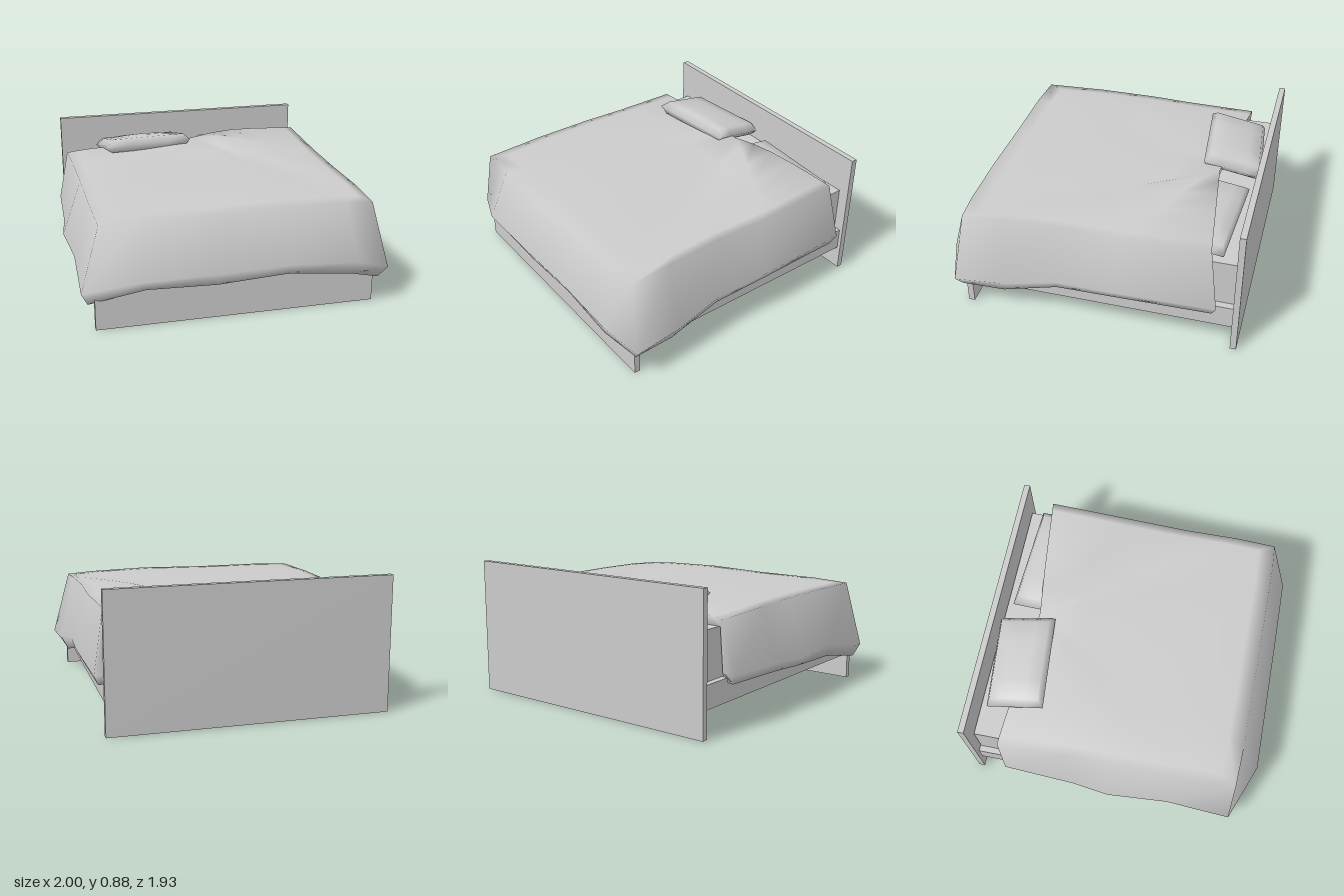
import * as THREE from 'three';
import { mergeVertices } from 'three/addons/utils/BufferGeometryUtils.js';

const grey = new THREE.MeshStandardMaterial({ color: 0xcccccc });
const cloth = new THREE.MeshStandardMaterial({ color: 0xcccccc, side: THREE.DoubleSide });

// Box given by its limits on each axis
function slab(name, x0, x1, y0, y1, z0, z1) {
  const mesh = new THREE.Mesh(new THREE.BoxGeometry(x1 - x0, y1 - y0, z1 - z0), grey);
  mesh.position.set((x0 + x1) / 2, (y0 + y1) / 2, (z0 + z1) / 2);
  mesh.name = name;
  return mesh;
}

// Merge shared corners so the normals come out smooth
function smooth(geometry) {
  geometry.deleteAttribute('normal');
  geometry.deleteAttribute('uv');
  const merged = mergeVertices(geometry, 1e-4);
  merged.computeVertexNormals();
  return merged;
}

// Cushion: box whose top and bottom are drawn in from a wider seam
function pillow(name, w, h, d) {
  const geo = new THREE.BoxGeometry(w, h, d, 4, 2, 4);
  const p = geo.attributes.position;
  for (let i = 0; i < p.count; i++) {
    const u = p.getX(i) / (w / 2), v = p.getZ(i) / (d / 2);
    const onFace = Math.abs(p.getY(i)) > 0.01;
    const inset = onFace ? 0.86 : 1;
    const swell = 0.72 + 0.28 * (1 - u * u) * (1 - v * v);
    p.setXYZ(i, p.getX(i) * inset, p.getY(i) * swell, p.getZ(i) * inset);
  }
  const mesh = new THREE.Mesh(smooth(geo), grey);
  mesh.name = name;
  mesh.rotation.order = 'YXZ';
  return mesh;
}

// Duvet: U-shaped rings from the middle of the turned-back edge out to the hem.
// Each ring runs back left, front left, front right, back right.
function duvet() {
  const top = [
    [-.88, .67, -.75], [-.87, .68, -.3], [-.87, .69, 0], [-.87, .69, .4], [-.86, .68, .82],
    [-.6, .69, .83], [-.15, .69, .83], [.3, .7, .83], [.7, .69, .83],
    [.88, .68, .82], [.88, .7, .55], [.87, .71, .2], [.88, .71, -.2], [.88, .74, -.77],
  ];
  const bulge = [
    [-.95, .34, -.72], [-.97, .33, -.25], [-1, .32, 0], [-.97, .32, .4], [-.98, .25, .83],
    [-.63, .35, .965], [-.15, .35, .96], [.3, .36, .955], [.76, .33, .95],
    [.995, .24, .87], [.98, .26, .55], [.945, .32, .2], [.965, .34, -.17], [.95, .34, -.83],
  ];
  const hem = [
    [-.92, .28, -.7], [-.94, .27, -.25], [-.96, .26, 0], [-.94, .24, .4], [-.94, .165, .8],
    [-.6, .28, .92], [-.15, .265, .92], [.3, .29, .92], [.72, .245, .92],
    [.94, .165, .84], [.93, .165, .56], [.92, .26, .2], [.93, .275, -.2], [.92, .275, -.8],
  ];
  const inner = hem.map(([x, y, z], i) =>
    [THREE.MathUtils.clamp(x, -.86, .86), y + .05, Math.min(z, .83)]);

  // Top surface, crowned and lifted over the covered pillow
  const centre = [.05, .67, -.67];
  const rows = [0, .2, .4, .6, .8, .93, 1].map(t => top.map(p => {
    const [x, y, z] = p.map((v, k) => centre[k] + (v - centre[k]) * t);
    const lift = .055 * Math.exp(-(((x - .3) / .4) ** 2) - ((z + .6) / .2) ** 2);
    return [x, y + lift * (1 - t ** 4) + .04 * (1 - t ** 4), z];
  }));
  rows.push(bulge, hem, inner);

  // Close the back edge down onto the mattress
  const tuck = ([x, y, z]) => [THREE.MathUtils.clamp(x, -.84, .84), Math.min(y, .62), z + .03];
  const grid = rows.map(r => [tuck(r[0]), ...r, tuck(r[r.length - 1])]);
  const n = grid[0].length, index = [];
  for (let r = 0; r < grid.length - 1; r++) {
    for (let i = 0; i < n - 1; i++) {
      const a = r * n + i, b = a + n;
      index.push(a, b, a + 1, a + 1, b, b + 1);
    }
  }
  const geo = new THREE.BufferGeometry();
  geo.setAttribute('position', new THREE.Float32BufferAttribute(grid.flat(2), 3));
  geo.setIndex(index);
  const mesh = new THREE.Mesh(smooth(geo), cloth);
  mesh.name = 'duvet';
  return mesh;
}

export function createModel() {
  const bed = new THREE.Group();
  bed.name = 'bed';

  // Frame and mattress
  bed.add(
    slab('headboard', -.9, .91, 0, .885, -.97, -.93),
    slab('footboard', -.9, .91, 0, .3, .79, .83),
    slab('bedBase', -.87, .885, .16, .31, -.93, .79),
    slab('mattress', -.83, .84, .31, .62, -.925, .79),
  );

  // Pillows: one lying on the duvet, one half covered
  const left = pillow('loosePillow', .63, .13, .39);
  left.position.set(-.315, .722, -.715);
  left.rotation.set(-.22, .09, 0);
  const right = pillow('coveredPillow', .73, .12, .34);
  right.position.set(.46, .68, -.69);
  right.rotation.set(-.1, -.06, 0);
  bed.add(left, right, duvet());
  return bed;
}
